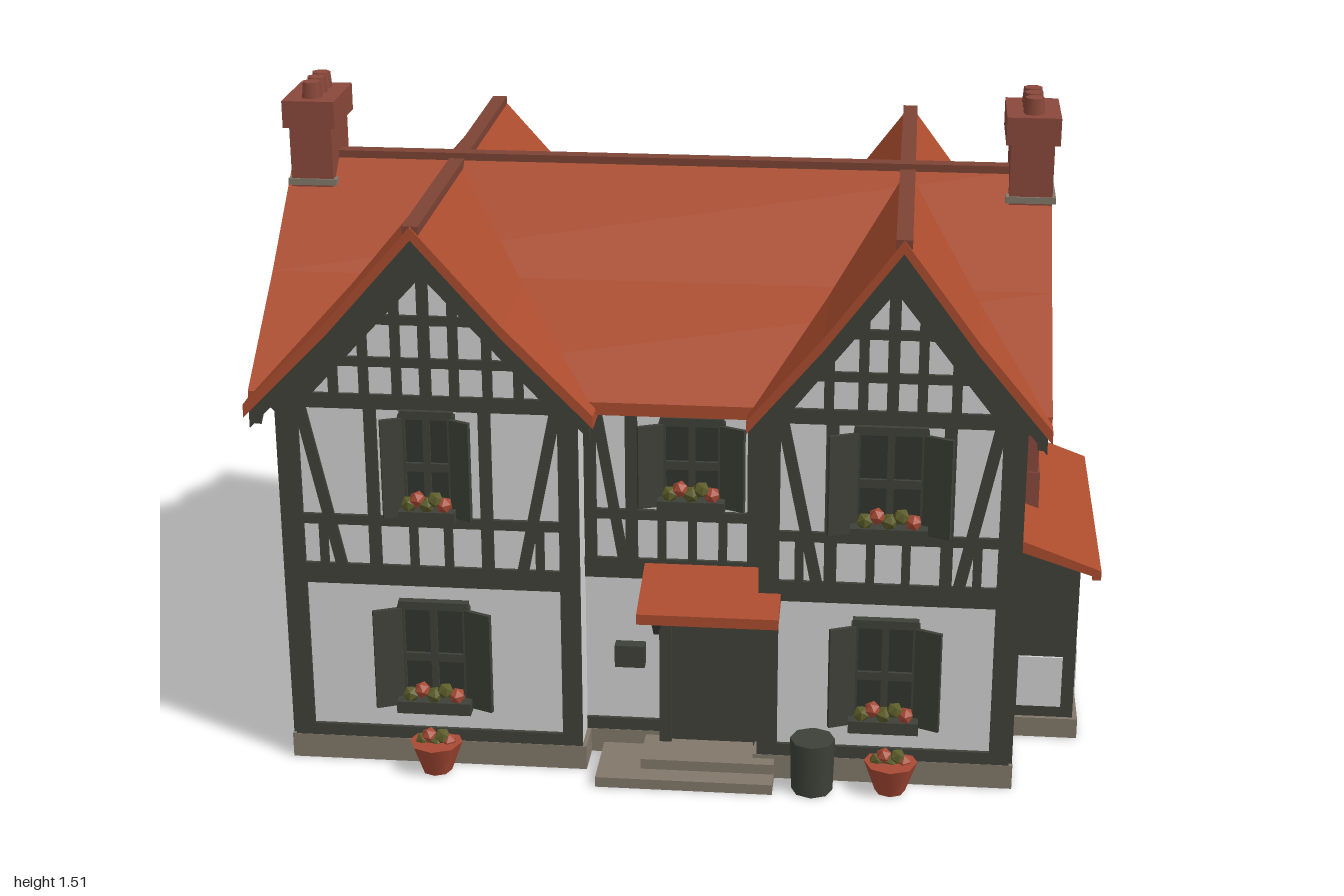
import * as THREE from 'three';

const mat = (name, color) => {
  const m = new THREE.MeshStandardMaterial({ color });
  m.name = name;
  return m;
};

export function createModel() {
  const M = {
    plaster: mat('plaster', 0xd2d2d2), timber: mat('timber', 0x3e4138), roof: mat('roofTile', 0xac4c2e),
    brick: mat('brick', 0x8a483b), stone: mat('stone', 0x82786a), leaf: mat('leaf', 0x5c5c2a),
    clay: mat('clay', 0xa84a35), glass: mat('glass', 0x33362f), ridge: mat('ridgeTile', 0x7d4334),
  };
  const house = new THREE.Group();
  house.name = 'house';

  const add = (parent, name, geo, material, x = 0, y = 0, z = 0) => {
    const m = new THREE.Mesh(geo, material);
    m.name = name;
    m.position.set(x, y, z);
    parent.add(m);
    return m;
  };
  // box given by its limits on each axis
  const block = (parent, name, material, x0, x1, y0, y1, z0, z1) =>
    add(parent, name, new THREE.BoxGeometry(x1 - x0, y1 - y0, z1 - z0), material,
      (x0 + x1) / 2, (y0 + y1) / 2, (z0 + z1) / 2);
  // outline in x,y pushed from z0 to z1
  const prism = (name, material, pts, z0, z1, parent = house) => {
    const shape = new THREE.Shape(pts.map(p => new THREE.Vector2(...p)));
    const geo = new THREE.ExtrudeGeometry(shape, { depth: z1 - z0, bevelEnabled: false });
    geo.translate(0, 0, z0);
    return add(parent, name, geo, material);
  };
  // bent strip used for roofs and bargeboards, sagging slightly at mid slope
  const chevron = (hw, apex, eave, t, sag = 0.012) => {
    const mid = (apex + eave) / 2 - sag;
    const top = [[hw, eave], [hw / 2, mid], [0, apex], [-hw / 2, mid], [-hw, eave]];
    return [...top, ...top.map(([x, y]) => [x, y - t]).reverse()];
  };

  // Wings (gables face front and back), main range between them
  const wings = [
    { name: 'rightWing', c: -0.54, hw: 0.34, rc: -0.555, rhw: 0.395 },
    { name: 'leftWing', c: 0.5, hw: 0.29, rc: 0.515, rhw: 0.335 },
  ];
  for (const w of wings) {
    const walls = prism(w.name + 'Walls', M.plaster,
      [[-w.hw, 0.04], [w.hw, 0.04], [w.hw, 0.88], [0, 1.26], [-w.hw, 0.88]], -0.57, 0.55);
    walls.position.x = w.c;
    block(house, w.name + 'Plinth', M.stone, w.c - w.hw - 0.01, w.c + w.hw + 0.01, 0, 0.06, -0.58, 0.56);
    const r = prism(w.name + 'Roof', M.roof, chevron(w.rhw, 1.325, 0.9, 0.03), -0.61, 0.59);
    r.position.x = w.rc;
    for (const z of [-0.598, 0.558]) {
      const b = prism(w.name + 'Bargeboard', M.timber, chevron(w.rhw - 0.01, 1.3, 0.885, 0.045), z, z + 0.02);
      b.position.x = w.rc;
    }
    block(house, w.name + 'Ridge', M.ridge, w.rc - 0.018, w.rc + 0.018, 1.305, 1.325, -0.605, 0.585);
  }
  const main = prism('mainWalls', M.plaster,
    [[-0.46, 0.04], [0.46, 0.04], [0.46, 0.93], [0, 1.26], [-0.46, 0.93]], -0.878, 0.788);
  const mainRoof = prism('mainRoof', M.roof, chevron(0.54, 1.335, 0.915, 0.03), -0.95, 0.85);
  const boards = [-0.935, 0.82].map(z =>
    prism('endBargeboard', M.timber, chevron(0.55, 1.305, 0.885, 0.045), z, z + 0.015));
  [main, mainRoof, ...boards].forEach(m => { m.rotation.y = Math.PI / 2; });
  block(house, 'mainPlinth', M.stone, -0.3, 0.3, 0, 0.06, -0.47, 0.47);
  block(house, 'mainRidge', M.ridge, -0.94, 0.84, 1.32, 1.338, -0.018, 0.018);

  // Wall faces: local x runs along the wall, local z points outwards
  const face = (name, x, z, turn) => {
    const g = new THREE.Group();
    g.name = name;
    g.position.set(x, 0, z);
    g.rotation.y = turn;
    house.add(g);
    return g;
  };
  const beam = (g, x1, y1, x2, y2, w = 0.028) => {
    const m = add(g, 'beam', new THREE.BoxGeometry(Math.hypot(x2 - x1, y2 - y1), w, 0.009), M.timber,
      (x1 + x2) / 2, (y1 + y2) / 2, 0.0045);
    m.rotation.z = Math.atan2(y2 - y1, x2 - x1);
  };
  const curvedBeam = (g, pts) => {
    const p = new THREE.SplineCurve(pts.map(q => new THREE.Vector2(...q))).getPoints(8);
    for (let i = 0; i < 8; i++) beam(g, p[i].x, p[i].y, p[i + 1].x, p[i + 1].y, 0.032);
  };
  const flowers = (g, x, y, z, w) => {
    for (let i = 0; i < 5; i++) {
      const b = add(g, 'flowers', new THREE.IcosahedronGeometry(0.02, 0), i % 3 === 1 ? M.clay : M.leaf,
        x + (i / 4 - 0.5) * w, y + (i % 2) * 0.012, z);
      b.rotation.set(i, i * 2, 0);
    }
  };
  const windowUnit = (parent, x, y0, y1, w) => {
    const g = new THREE.Group(), h = y1 - y0, cy = h / 2;
    g.name = 'window';
    g.position.set(x, y0, 0);
    parent.add(g);
    block(g, 'windowPane', M.glass, -w * 0.3, w * 0.3, 0, h, 0, 0.012);
    for (const s of [-1, 0, 1]) block(g, 'mullion', M.timber, s * w * 0.28 - 0.008, s * w * 0.28 + 0.008, 0, h, 0, 0.02);
    for (const y of [cy, h]) block(g, 'windowRail', M.timber, -w * 0.3, w * 0.3, y - 0.01, y + 0.01, 0, 0.02);
    for (const s of [-1, 1]) {
      const sh = add(g, 'shutter', new THREE.BoxGeometry(w * 0.25, h * 0.95, 0.01), M.timber, s * w * 0.39, cy, 0.03);
      sh.rotation.y = -s * 0.4;
    }
    block(g, 'flowerBox', M.timber, -w * 0.32, w * 0.32, 0, 0.03, 0, 0.055);
    flowers(g, 0, 0.045, 0.042, w * 0.4);
  };

  const gableFace = (w, z, turn, upperW, lowerW) => {
    const g = face(w.name + 'Gable', w.c, z, turn), hw = w.hw;
    const top = x => 1.25 - 0.38 * Math.abs(x) / hw;
    beam(g, -hw, 0.075, hw, 0.075, 0.03);
    beam(g, -hw, 0.48, hw, 0.48, 0.05);
    beam(g, -hw, 0.615, hw, 0.615, 0.024);
    beam(g, -hw, 0.905, hw, 0.905, 0.035);
    beam(g, -hw * 0.62, 1.0, hw * 0.62, 1.0, 0.022);
    beam(g, -hw * 0.36, 1.1, hw * 0.36, 1.1, 0.022);
    beam(g, 0, 0.9, 0, 1.24, 0.026);
    for (const s of [-1, 1]) {
      beam(g, s * (hw - 0.022), 0.06, s * (hw - 0.022), 0.9, 0.046);
      beam(g, 0, 1.24, s * hw, 0.87, 0.05);
      beam(g, s * 0.13, 0.48, s * 0.13, 0.9);
      for (const x of [0.065, 0.14, 0.21]) if (x < hw * 0.72) beam(g, s * x, 0.9, s * x, top(x), 0.022);
      beam(g, s * (hw - 0.05), 0.89, s * (hw - 0.13), 0.5, 0.026);
      beam(g, s * 0.04, 0.48, s * 0.04, 0.62, 0.02);
      beam(g, s * (hw - 0.09), 0.48, s * (hw - 0.09), 0.62, 0.02);
    }
    windowUnit(g, 0, 0.63, 0.88, upperW);
    windowUnit(g, 0, 0.15, 0.41, lowerW);
    return g;
  };
  gableFace(wings[0], 0.55, 0, 0.2, 0.27);
  gableFace(wings[1], 0.55, 0, 0.27, 0.25);
  const backRight = gableFace(wings[0], -0.57, Math.PI, 0.24, 0.24);
  gableFace(wings[1], -0.57, Math.PI, 0.24, 0.24);
  block(backRight, 'hatch', M.stone, -0.28, -0.19, 0.13, 0.24, 0, 0.015);

  // Recessed walls between the wings
  const recess = (z, turn, doorX) => {
    const g = face('recessWall', 0, z, turn);
    for (const [y, w] of [[0.48, 0.05], [0.615, 0.024], [0.89, 0.05], [0.075, 0.03]]) beam(g, -0.21, y, 0.21, y, w);
    for (const x of [-0.185, -0.09, 0.19]) beam(g, x, 0.48, x, 0.9);
    for (const x of [-0.02, 0.05, 0.12]) beam(g, x, 0.48, x, 0.62, 0.02);
    beam(g, -0.17, 0.87, -0.11, 0.5, 0.024);
    windowUnit(g, 0.05, 0.64, 0.85, 0.24);
    block(g, 'door', M.timber, doorX - 0.1, doorX + 0.1, 0.05, 0.42, 0, 0.025);
    for (const s of [-1, 1]) block(g, 'doorPost', M.timber, doorX + s * 0.11 - 0.014, doorX + s * 0.11 + 0.014, 0.05, 0.45, 0, 0.04);
    return g;
  };
  const front = recess(0.46, 0, 0.1);
  recess(-0.46, Math.PI, -0.1);
  block(front, 'lantern', M.timber, -0.13, -0.06, 0.235, 0.29, 0, 0.03);

  // Porch roof and doorsteps
  prism('porchRoof', M.roof, [[0.45, 0.47], [0.65, 0.425], [0.65, 0.45], [0.45, 0.5]], -0.26, 0.06)
    .rotation.y = -Math.PI / 2;
  house.children[house.children.length - 1].position.x = 0;
  for (const x of [-0.03, 0.23]) {
    const b = block(house, 'porchBracket', M.timber, x - 0.01, x + 0.01, 0.3, 0.47, 0.515, 0.535);
    b.rotation.x = 0.75;
  }
  block(house, 'doorstep', M.stone, -0.06, 0.25, 0, 0.05, 0.46, 0.59);
  block(house, 'lowerStep', M.stone, -0.16, 0.25, 0, 0.025, 0.46, 0.64);

  // End walls, with straight posts and bowed braces
  const endWall = (x, turn) => {
    const g = face('endWall', x, -0.01, turn);
    for (const [y, w] of [[0.075, 0.03], [0.49, 0.045], [0.59, 0.024], [0.89, 0.032]]) beam(g, -0.56, y, 0.56, y, w);
    for (const s of [-1, 1]) {
      beam(g, s * 0.538, 0.06, s * 0.538, 0.9, 0.044);
      beam(g, 0, 1.25, s * 0.53, 0.87, 0.05);
      beam(g, s * 0.35, 0.06, s * 0.35, 0.98, 0.036);
      beam(g, s * 0.13, 0.49, s * 0.13, 1.15, 0.026);
      for (const u of [0.2, 0.28, 0.45]) beam(g, s * u, 0.48, s * u, 0.6, 0.022);
      curvedBeam(g, [[s * 0.33, 0.61], [s * 0.24, 0.72], [s * 0.3, 0.88], [s * 0.24, 1.02]]);
      curvedBeam(g, [[s * 0.53, 0.6], [s * 0.46, 0.72], [s * 0.38, 0.88]]);
      curvedBeam(g, [[0, 1.08], [s * 0.18, 1.05], [s * 0.34, 0.96]]);
      beam(g, s * 0.14, 0.9, s * 0.27, 0.98, 0.024);
    }
  };
  endWall(0.79, Math.PI / 2);
  endWall(-0.88, -Math.PI / 2);

  // Chimneys
  for (const [x0, x1, base] of [[-0.94, -0.84, 0], [0.75, 0.85, 0.5]]) {
    const g = new THREE.Group(), c = (x0 + x1) / 2;
    g.name = 'chimney';
    house.add(g);
    block(g, 'shaft', M.brick, x0, x1, base, 1.43, -0.085, 0.085);
    block(g, 'shaftFoot', M.brick, x0 - 0.002, x1 + 0.005, base, base + 0.1, -0.09, 0.09);
    block(g, 'chimneyCap', M.brick, x0 - 0.012, x1 + 0.012, 1.41, 1.475, -0.098, 0.098);
    block(g, 'flashing', M.stone, x0 - 0.008, x1 + 0.008, 1.27, 1.285, -0.09, 0.09);
    for (const z of [-0.05, 0, 0.05])
      add(g, 'chimneyPot', new THREE.CylinderGeometry(0.022, 0.026, 0.045, 7), M.brick, c, 1.49, z);
  }

  // Lean-to at the side
  const shed = prism('leanToWalls', M.timber, [[0.78, 0.05], [0.95, 0.05], [0.95, 0.44], [0.78, 0.51]], -0.35, 0.29);
  block(shed, 'leanToPlinth', M.stone, 0.78, 0.962, 0, 0.05, -0.36, 0.3);
  prism('leanToRoof', M.roof, [[0.78, 0.505], [0.995, 0.435], [0.995, 0.455], [0.78, 0.535]], -0.39, 0.33);
  block(house, 'leanToRoofEdge', M.roof, 0.975, 0.995, 0.432, 0.455, -0.39, 0.33);
  block(shed, 'sidePanel', M.plaster, 0.95, 0.956, 0.09, 0.21, -0.31, 0.245);
  for (const z of [0.29, -0.356]) block(shed, 'endPanel', M.plaster, 0.815, 0.92, 0.08, 0.21, z, z + 0.006);

  // Leaning board beside the other end wall
  const board = new THREE.Group();
  board.name = 'leaningBoard';
  board.position.set(-0.985, 0, 0.01);
  board.rotation.z = -0.15;
  house.add(board);
  block(board, 'panel', M.timber, -0.006, 0.016, 0.1, 0.305, -0.17, 0.17);
  for (const z of [-0.13, 0.13]) block(board, 'leg', M.timber, -0.006, 0.012, 0.002, 0.3, z - 0.012, z + 0.012);

  // Pots and barrel in front
  for (const x of [-0.54, 0.52]) {
    add(house, 'plantPot', new THREE.CylinderGeometry(0.062, 0.035, 0.075, 8), M.clay, x, 0.0375, 0.59);
    flowers(house, x, 0.075, 0.59, 0.06);
  }
  add(house, 'barrel', new THREE.CylinderGeometry(0.052, 0.048, 0.13, 8), M.timber, 0.34, 0.065, 0.6);
  return house;
}
